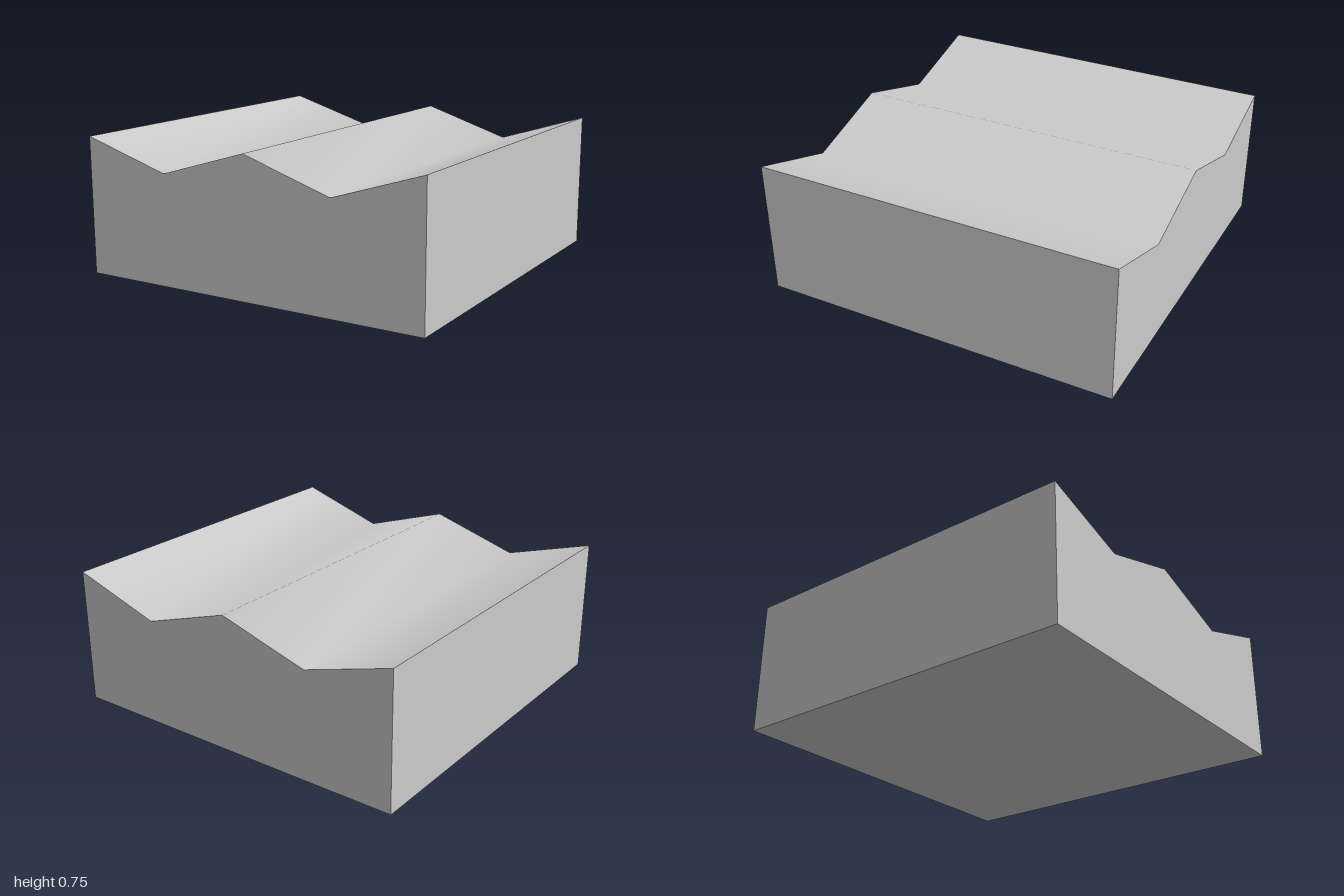
import * as THREE from 'three';
import { toCreasedNormals } from 'three/addons/utils/BufferGeometryUtils.js';

export function createModel() {
  const group = new THREE.Group();
  group.name = 'ridgedBlock';

  // Cross-section: flat base, zigzag top with two valleys
  const profile = new THREE.Shape([
    [-1, 0], [1, 0], [1, 0.75], [0.5, 0.59], [0, 0.75], [-0.5, 0.6], [-1, 0.75],
  ].map(([x, y]) => new THREE.Vector2(x, y)));

  const solid = new THREE.ExtrudeGeometry(profile, { depth: 2, bevelEnabled: false });
  solid.translate(0, 0, -1);

  // Smooth shading across the top folds, sharp outer edges
  const block = new THREE.Mesh(
    toCreasedNormals(solid, 0.8),
    new THREE.MeshStandardMaterial({ color: 0xcccccc }),
  );
  block.name = 'block';
  group.add(block);
  return group;
}
